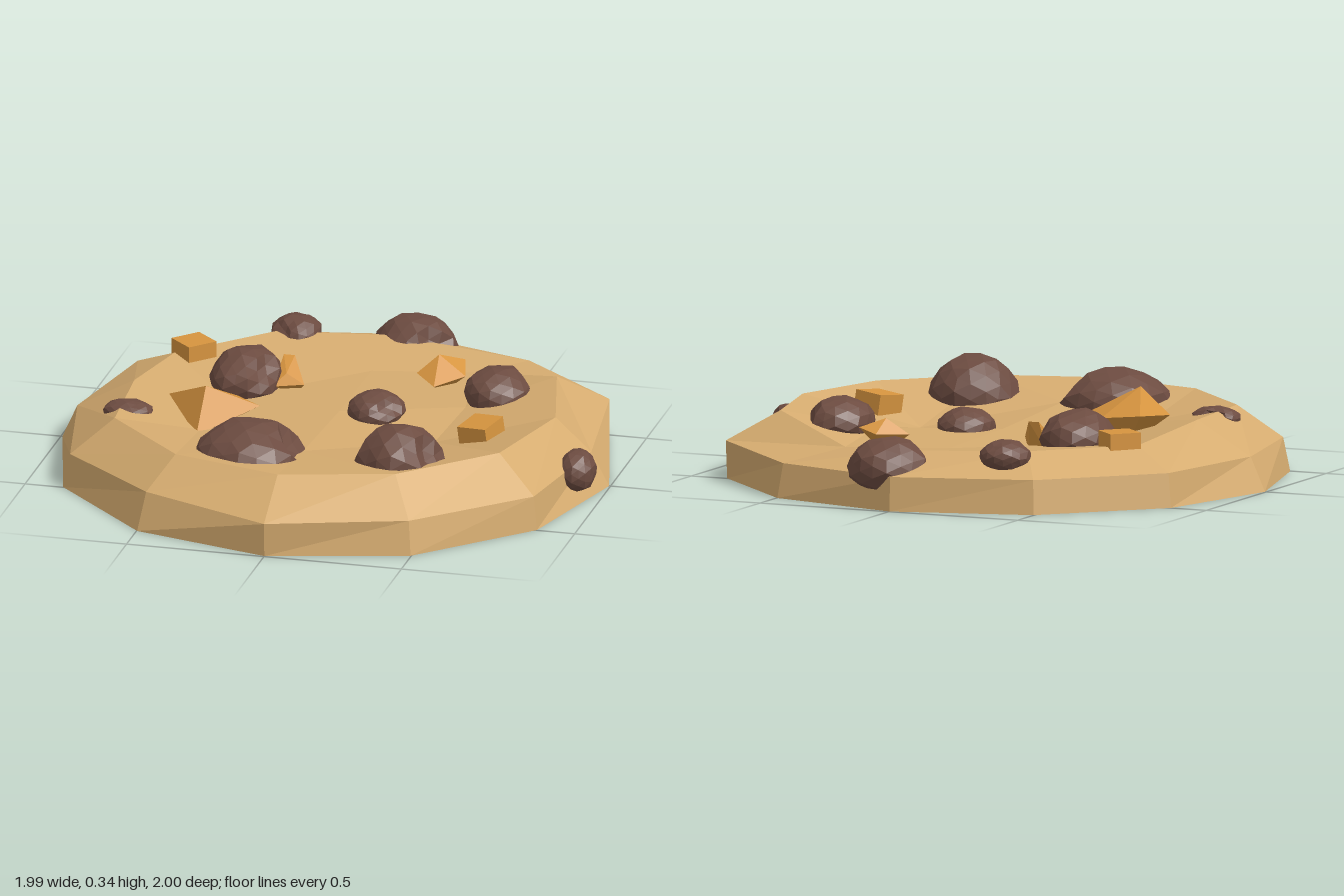
import * as THREE from 'three';
import { ConvexGeometry } from 'three/addons/geometries/ConvexGeometry.js';

const mat = (name, color) => {
  const m = new THREE.MeshStandardMaterial({ color, flatShading: true });
  m.name = name;
  return m;
};

// Cookie: twelve-sided rings joined upward and inward; angle 0 faces +z
function cookieGeometry() {
  const polar = (r, y, k) => {
    const a = k * Math.PI / 6;
    return [r * Math.sin(a), y, r * Math.cos(a)];
  };
  const midRadius = [1, 0.97, 0.98, 0.93, 1, 0.97, 0.99, 0.98, 0.98, 0.94, 0.97, 0.95];
  const base = midRadius.map((_, k) => polar(0.995, 0, k));
  const mid = midRadius.map((r, k) => polar(r, k === 11 || k === 4 ? 0.135 : 0.122, k));
  const rim = [
    [0, 0.24, 0.81], [0.4, 0.24, 0.7], [0.7, 0.24, 0.4], [0.8, 0.24, 0],
    [0.7, 0.24, -0.4], [0.36, 0.155, -0.59], [0, 0.19, -0.79], [-0.4, 0.2, -0.7],
    [-0.69, 0.2, -0.4], [-0.73, 0.24, 0.01], [-0.7, 0.24, 0.4], [-0.4, 0.24, 0.7],
  ];
  // Sunken inner ring has half as many corners
  const inner = [
    [0, 0.2, 0.45], [0.38, 0.135, 0.08], [0.42, 0.17, -0.2],
    [0, 0.16, -0.5], [-0.43, 0.155, -0.11], [-0.42, 0.18, 0.28],
  ];
  const centre = [0, 0.17, -0.05];
  const out = [];
  const tri = (a, b, c) => out.push(...a, ...b, ...c);
  for (let k = 0; k < 12; k++) {
    const n = (k + 1) % 12;
    tri([0, 0, 0], base[n], base[k]);
    for (const [a, b] of [[base, mid], [mid, rim]]) {
      tri(a[k], a[n], b[n]);
      tri(a[k], b[n], b[k]);
    }
  }
  for (let j = 0; j < 6; j++) {
    const k = j * 2, n = (j + 1) % 6;
    tri(rim[k], rim[k + 1], inner[j]);
    tri(rim[k + 1], rim[(k + 2) % 12], inner[n]);
    tri(rim[k + 1], inner[n], inner[j]);
    tri(inner[j], inner[n], centre);
  }
  const g = new THREE.BufferGeometry();
  g.setAttribute('position', new THREE.Float32BufferAttribute(out, 3));
  g.computeVertexNormals();
  return g;
}

// Chocolate chip: faceted ball with uneven radius and one notch
function chipGeometry(seed, notch, depth) {
  const g = new THREE.IcosahedronGeometry(1, 2);
  const p = g.attributes.position;
  const dir = new THREE.Vector3(...notch).normalize();
  const v = new THREE.Vector3();
  for (let i = 0; i < p.count; i++) {
    v.fromBufferAttribute(p, i).normalize();
    const key = Math.round(v.x * 50) * 12.99 + Math.round(v.y * 50) * 78.23 + Math.round(v.z * 50) * 37.72;
    const noise = Math.abs(Math.sin(key + seed * 5.3) * 437.5) % 1;
    const dent = depth * Math.max(0, (v.dot(dir) - 0.86) / 0.14);
    v.multiplyScalar(0.93 + 0.09 * noise - dent);
    p.setXYZ(i, v.x, v.y, v.z);
  }
  g.computeVertexNormals();
  return g;
}

export function createModel() {
  const group = new THREE.Group();
  const dough = mat('dough', 0xd6ac70);
  const chocolate = mat('chocolate', 0x6d4c41);
  const caramel = mat('caramel', 0xd6943f);
  const add = (name, geometry, material) => {
    const m = new THREE.Mesh(geometry, material);
    m.name = name;
    group.add(m);
    return m;
  };

  add('cookie', cookieGeometry(), dough);

  // Chips: centre, radii, notch direction, notch depth
  const chips = [
    [[-0.17, 0.2, 0.53], [0.2, 0.125, 0.2], [1, 0.5, -0.15], 0.3],
    [[0.365, 0.2, 0.49], [0.165, 0.147, 0.165], [0.9, 0.5, 0.3], 0.3],
    [[0.515, 0.2, -0.305], [0.125, 0.09, 0.145], [1, 0.4, -0.5], 0.2],
    [[0.125, 0.175, -0.08], [0.105, 0.07, 0.11], [0.7, 0.5, 0.6], 0.25],
    [[-0.395, 0.19, -0.265], [0.13, 0.105, 0.17], [0.8, 0.5, 0.5], 0.2],
    [[-0.34, 0.185, -0.755], [0.092, 0.062, 0.105], [-0.4, 0.4, 0.8], 0.25],
    [[0.065, 0.135, -0.86], [0.15, 0.11, 0.145], [0.8, 0.4, 0.8], 0.3],
    [[0.92, 0.105, 0.145], [0.068, 0.078, 0.098], [0.6, 0.5, -0.7], 0.2],
    [[-0.69, 0.215, 0.25], [0.093, 0.04, 0.068], [-0.2, 0.4, -1], 0.6],
  ];
  chips.forEach(([centre, radii, notch, depth], i) => {
    const m = add('chocolateChip' + (i + 1), chipGeometry(i + 1, notch, depth), chocolate);
    m.position.set(...centre);
    m.scale.set(...radii);
  });

  // Caramel cubes
  const cubes = [
    [[-0.625, 0.205, -0.418], [0.115, 0.085, 0.115], [0, -0.75, 0]],
    [[0.562, 0.2, 0.12], [0.115, 0.09, 0.125], [0.1, -0.28, 0.12]],
  ];
  cubes.forEach(([centre, size, turn], i) => {
    const m = add('caramelCube' + (i + 1), new THREE.BoxGeometry(...size), caramel);
    m.position.set(...centre);
    m.rotation.set(...turn);
  });

  // Caramel shards as convex hulls
  const shards = [
    [[-0.58, 0.235, 0.1], [-0.5, 0.235, 0.02], [-0.35, 0.22, 0.02], [-0.25, 0.22, 0.1],
      [-0.42, 0.315, 0.2], [-0.425, 0.17, 0.315], [-0.42, 0.12, 0.1]],
    [[0.18, 0.19, -0.44], [0.25, 0.25, -0.485], [0.26, 0.2, -0.55], [0.33, 0.22, -0.54],
      [0.355, 0.19, -0.45], [0.26, 0.17, -0.37], [0.27, 0.12, -0.46]],
    [[-0.28, 0.25, -0.35], [-0.24, 0.25, -0.35], [-0.18, 0.18, -0.25], [-0.29, 0.17, -0.23],
      [-0.25, 0.21, -0.27], [-0.31, 0.13, -0.33], [-0.22, 0.13, -0.3]],
  ];
  shards.forEach((points, i) => add('caramelShard' + (i + 1),
    new ConvexGeometry(points.map((p) => new THREE.Vector3(...p))), caramel));

  return group;
}
